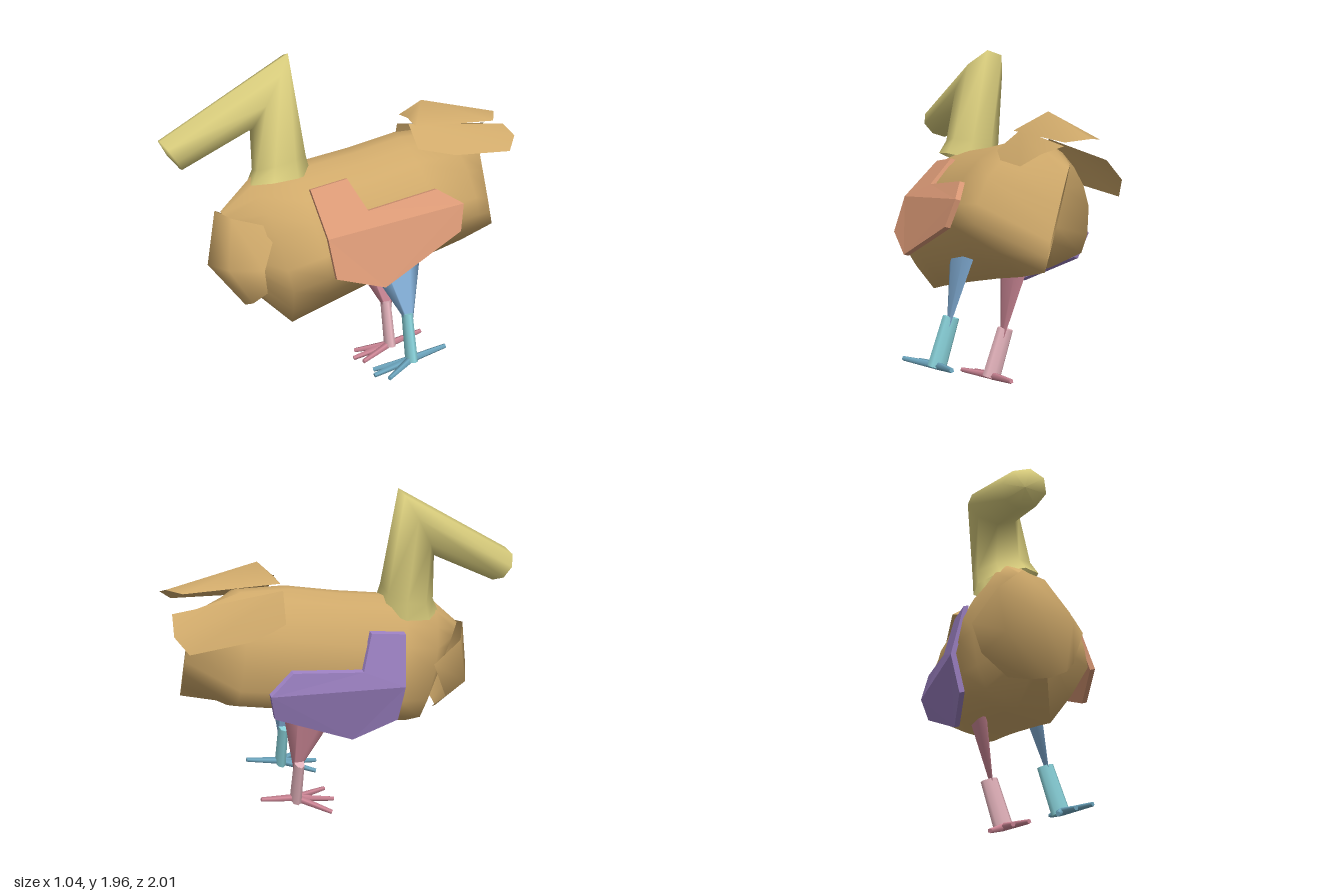
import * as THREE from 'three';

const material = (name, color, side = THREE.FrontSide) => {
  const m = new THREE.MeshStandardMaterial({ color, side });
  m.name = name;
  return m;
};

// Skin a row of rings with one unit profile; each ring is
// [centre x, half width, outer y, outer z, inner y, inner z]
function loft(rings, profile) {
  const pos = [], index = [], n = profile.length;
  for (const [x, half, oy, oz, iy, iz] of rings) {
    for (const [px, py] of profile) {
      pos.push(x + half * px, (oy + iy + py * (oy - iy)) / 2, (oz + iz + py * (oz - iz)) / 2);
    }
  }
  for (let i = 0; i < rings.length - 1; i++) {
    for (let j = 0; j < n; j++) {
      const k = (j + 1) % n, a = i * n, b = a + n;
      index.push(a + j, a + k, b + k, a + j, b + k, b + j);
    }
  }
  return surface(pos, index);
}

function surface(pos, index) {
  const g = new THREE.BufferGeometry();
  g.setAttribute('position', new THREE.Float32BufferAttribute(pos, 3));
  g.setIndex(index);
  g.computeVertexNormals();
  return g;
}

// Polygon drawn as a fan around its first point
function fan(points) {
  const index = [];
  for (let i = 1; i < points.length - 1; i++) index.push(0, i, i + 1);
  return surface(points.flat(), index);
}

// Rod between two points
function rod(from, to, rTop, rBottom, sides) {
  const a = new THREE.Vector3(...from), b = new THREE.Vector3(...to);
  const dir = a.clone().sub(b);
  const g = new THREE.CylinderGeometry(rTop, rBottom, dir.length(), sides);
  g.applyQuaternion(new THREE.Quaternion().setFromUnitVectors(new THREE.Vector3(0, 1, 0), dir.normalize()));
  const mid = a.add(b).multiplyScalar(0.5);
  return g.translate(mid.x, mid.y, mid.z);
}

export function createModel() {
  const tan = material('tan plumage', 0xcfa96a, THREE.DoubleSide);
  const yellow = material('yellow neck', 0xd8cc7c, THREE.DoubleSide);
  const salmon = material('salmon wing', 0xd99875);
  const purple = material('purple wing', 0x9a7fc0);
  const legColours = {
    left: [material('blue thigh', 0x86b3dc), material('cyan shank', 0x88d0d8), material('blue foot', 0x6fa9c2)],
    right: [material('rose thigh', 0xd08a99), material('pale pink shank', 0xe4b3bc), material('rose foot', 0xcf8797)],
  };

  const model = new THREE.Group();
  const bird = new THREE.Group();
  bird.name = 'bird';
  model.add(bird);
  const add = (name, geometry, mat, parent = bird) => {
    const mesh = new THREE.Mesh(geometry, mat);
    mesh.name = name;
    parent.add(mesh);
    return mesh;
  };

  // Body: round back and V-shaped belly, closing to an upright edge at both ends
  const flank = [[0.5, -0.74], [0.96, -0.44], [1, -0.15], [0.92, 0.27], [0.74, 0.56], [0.5, 0.78], [0.25, 0.93]];
  const section = [[0, -1], ...flank, [0, 1], ...flank.map(([x, y]) => [-x, y]).reverse()];
  add('body', loft([
    [0, 0.005, 0.35, -0.82, -0.2, -0.795],
    [0, 0.335, 0.48, -0.57, -0.235, -0.57],
    [0, 0.35, 0.52, -0.3, -0.26, -0.3],
    [0, 0.35, 0.51, 0, -0.295, 0],
    [0, 0.345, 0.515, 0.38, -0.345, 0.38],
    [-0.01, 0.3, 0.505, 0.59, -0.375, 0.58],
    [-0.01, 0.02, 0.37, 0.8, -0.08, 0.78],
  ], section), tan);

  // Breast plate: folded shield around the front
  const breastHalf = [
    [[0, 0.38, 0.83], [0.13, 0.33, 0.77], [0.25, 0.23, 0.57]],
    [[0, 0.1, 0.95], [0.18, 0.07, 0.87], [0.28, 0.03, 0.7]],
    [[0, -0.19, 0.81], [0.1, -0.17, 0.78], [0.18, -0.12, 0.7]],
  ];
  const breastPos = [], breastIndex = [];
  for (const [c, m, e] of breastHalf) {
    const flip = ([x, y, z]) => [-x, y, z];
    breastPos.push(...flip(e), ...flip(m), ...c, ...m, ...e);
  }
  for (let r = 0; r < 2; r++) {
    for (let c = 0; c < 4; c++) {
      const a = r * 5 + c, b = a + 5;
      breastIndex.push(a, b, b + 1, a, b + 1, a + 1);
    }
  }
  add('breast', surface(breastPos, breastIndex), tan).position.x = -0.025;

  // Neck and head: one bent eight-sided tube with a blunt tip
  const octagon = Array.from({ length: 8 }, (_, j) => {
    const a = (j + 0.5) * Math.PI / 4, r = 1 / Math.cos(Math.PI / 8);
    return [r * Math.cos(a), r * Math.sin(a)];
  });
  add('neckAndHead', loft([
    [0.01, 0.175, 0.44, 0.27, 0.47, 0.61],
    [0.015, 0.155, 0.55, 0.27, 0.54, 0.56],
    [0.08, 0.12, 1.11, 0.235, 0.775, 0.525],
    [0.05, 0.112, 0.835, 1.02, 0.66, 0.95],
    [0.05, 0.001, 0.75, 1.0, 0.749, 0.999],
  ], octagon), yellow);

  // Tail: an arched middle feather and one leaning feather on each side
  add('middleTailFeather', fan([
    [0.02, 0.66, -0.51], [-0.1, 0.6, -0.4], [-0.09, 0.5, -0.9], [0, 0.47, -0.97],
    [0.1, 0.43, -0.9], [0.14, 0.53, -0.39], [0.02, 0.58, -0.4], [-0.1, 0.6, -0.4],
  ]), tan);
  for (const s of [1, -1]) {
    add(s > 0 ? 'leftTailFeather' : 'rightTailFeather', fan([
      [0.088, 0.553, -0.37], [0.225, 0.364, -0.345], [0.29, 0.26, -0.865],
      [0.235, 0.33, -0.945], [0.124, 0.4, -0.947],
    ].map(([x, y, z]) => [s * x, y, z])), tan);
  }

  // Wings: thick plates whose upper part bends in over the back
  const outline = [
    [0.34, 0.38], [0.123, 0.38], [0.083, 0.195], [-0.336, 0.193], [-0.454, 0.079],
    [-0.4, -0.068], [0.11, -0.233], [0.365, -0.1], [0.352, 0.12],
  ];
  const wing = new THREE.ExtrudeGeometry(
    new THREE.Shape(outline.map(([z, y]) => new THREE.Vector2(-z, y))),
    { depth: 0.03, bevelEnabled: false });
  wing.rotateY(Math.PI / 2);
  const p = wing.attributes.position;
  for (let i = 0; i < p.count; i++) {
    p.setX(i, p.getX(i) + 0.38 - Math.max(0, p.getY(i) - 0.1) * 0.56);
  }
  wing.computeVertexNormals();
  add('leftWing', wing, salmon);
  const rightWing = add('rightWing', wing, purple);
  rightWing.scale.x = -1;
  rightWing.position.set(0.005, 0.02, 0);
  rightWing.rotation.y = 0.05;

  // Legs: flattened thigh, oval shank, three front toes and one hind toe
  for (const s of [1, -1]) {
    const side = s > 0 ? 'left' : 'right';
    const [thighMat, shankMat, footMat] = legColours[side];
    const leg = new THREE.Group();
    leg.name = side + 'Leg';
    leg.position.x = -0.055 + s * 0.175;
    bird.add(leg);
    const thigh = add('thigh', new THREE.CylinderGeometry(0.165, 0.02, 0.4, 6), thighMat, leg);
    thigh.scale.x = 0.2;
    thigh.position.set(s > 0 ? 0.012 : 0.02, -0.375, -0.075);
    thigh.rotation.z = s > 0 ? -0.03 : -0.06;
    add('shank', rod([0, -0.52, -0.072], [0, -0.81, -0.028], 0.03, 0.034, 8), shankMat, leg).scale.x = 1.7;
    const ankle = [0, -0.8, -0.03];
    const tips = [[-0.09, -0.815, 0.19], [0.01, -0.81, 0.22], [0.13, -0.81, 0.17], [0.01, -0.795, -0.255]];
    tips.forEach(([x, y, z], i) => {
      add(i < 3 ? 'frontToe' : 'hindToe', rod(ankle, [s * x, y, z], 0.024, 0.014, 5), footMat, leg);
    });
  }

  // Lean the whole bird: turned, tipped forward and rolled to one side
  bird.applyMatrix4(new THREE.Matrix4().makeBasis(
    new THREE.Vector3(0.914, 0.297, 0.273),
    new THREE.Vector3(-0.323, 0.943, 0.057),
    new THREE.Vector3(-0.24, -0.14, 0.96),
  ).setPosition(0.03, 0.9, -0.05));
  return model;
}
